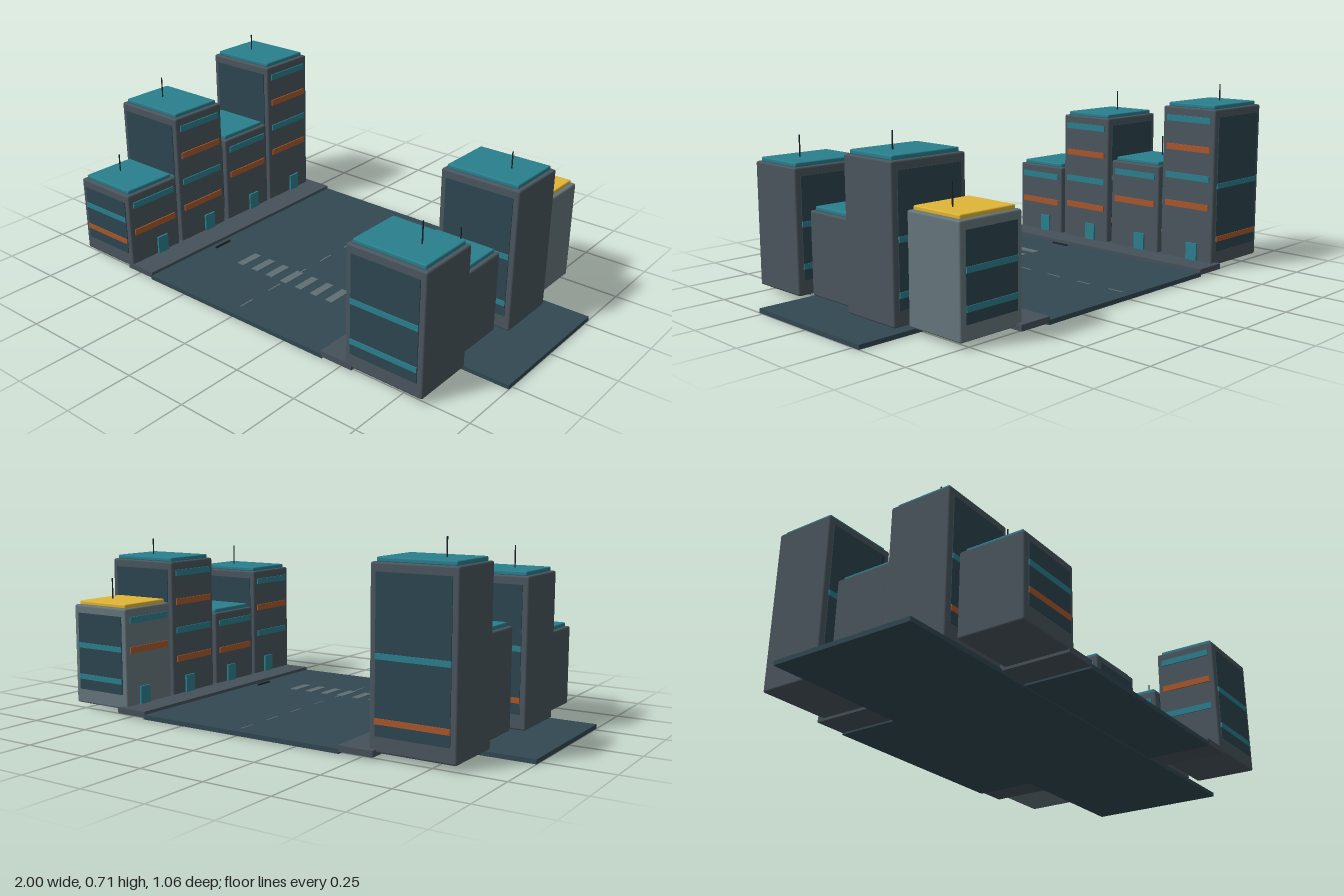
import * as THREE from 'three';
import { RoundedBoxGeometry } from 'three/addons/geometries/RoundedBoxGeometry.js';

const mat = (color) => new THREE.MeshStandardMaterial({ color });
const M = {
  wall: mat(0x4a555d), paleWall: mat(0x65757b), road: mat(0x314851), curb: mat(0x465159),
  glass: mat(0x2c4650), teal: mat(0x2a7f8e), orange: mat(0xa8572c), yellow: mat(0xe0b638),
  dark: mat(0x1c2429), paint: mat(0x5e6f74),
};

// Box given by its limits on each axis; r > 0 rounds the edges
function box(parent, name, material, [x0, x1], [y0, y1], [z0, z1], r = 0) {
  const size = [Math.abs(x1 - x0), y1 - y0, z1 - z0];
  const geo = r ? new RoundedBoxGeometry(...size, 2, r) : new THREE.BoxGeometry(...size);
  const mesh = new THREE.Mesh(geo, material);
  mesh.name = name;
  mesh.position.set((x0 + x1) / 2, (y0 + y1) / 2, (z0 + z1) / 2);
  parent.add(mesh);
  return mesh;
}

// side: +1 or -1, the side of the road the tower stands on
function building({ side, z, w, h, mast, pale }) {
  const g = new THREE.Group();
  g.name = 'building';
  const inner = 0.525, outer = inner + w, d = 0.122;
  const span = (a, b) => (side > 0 ? [a, b] : [-b, -a]);
  box(g, 'buildingBody', pale ? M.paleWall : M.wall, span(inner, outer), [0.02, h], [z - d, z + d], 0.007);
  box(g, 'roof', pale ? M.yellow : M.teal, span(inner + 0.014, outer - 0.014),
    [h - 0.002, h + 0.015], [z - d + 0.014, z + d - 0.014], 0.005);

  // roof mast
  const pole = new THREE.Mesh(new THREE.CylinderGeometry(0.0025, 0.0025, mast, 8), M.dark);
  pole.name = 'mast';
  pole.position.set(side * (inner + w / 2 + 0.05), h + 0.015 + mast / 2, z);
  g.add(pole);

  // glazed panel with two bands on the front and back
  const bands = [0.125, 0.22 + (h - 0.33) * 0.38];
  for (const s of [-1, 1]) {
    const slab = (a, b) => (s > 0 ? [z + a, z + b] : [z - b, z - a]);
    box(g, 'windowPanel', M.glass, span(inner + 0.022, outer - 0.022), [0.075, h - 0.03], slab(d - 0.004, d + 0.003));
    bands.forEach((y, i) => box(g, 'windowBand', i === 0 && side < 0 ? M.orange : M.teal,
      span(inner + 0.022, outer - 0.022), [y - 0.01, y + 0.01], slab(d, d + 0.006)));
  }

  // alternating bands and a door facing the road
  let i = 0;
  for (let y = h - 0.044; y > 0.16; y -= 0.113, i++) {
    box(g, 'streetBand', i % 2 ? M.orange : M.teal, span(inner - 0.005, inner + 0.005),
      [y - 0.012, y + 0.012], [z - 0.102, z + 0.102]);
  }
  box(g, 'door', M.teal, span(inner - 0.008, inner + 0.005), [0.03, 0.1], [z - 0.055, z - 0.005]);
  return g;
}

export function createModel() {
  const root = new THREE.Group();
  root.name = 'cityCrossing';

  // streets
  box(root, 'crossStreet', M.road, [-1, 1], [0, 0.016], [-0.28, 0.27]);
  box(root, 'mainRoad', M.road, [-0.425, 0.425], [0.003, 0.02], [-0.53, 0.522]);
  for (const s of [-1, 1]) {
    box(root, 'sidewalk', M.curb, [s * 0.42, s * 0.552], [0.01, 0.032], [-0.53, 0.522]);
    box(root, 'drain', M.dark, [s * 0.39, s * 0.396], [0.018, 0.026], [0.125, 0.205]);
  }

  // road paint
  for (let i = -3; i <= 3; i++) {
    box(root, 'crosswalkStripe', M.paint, [i * 0.074 - 0.016, i * 0.074 + 0.016], [0.018, 0.023], [0.14, 0.24]);
    const z = -0.01 + i * 0.15;
    box(root, 'laneDash', M.paint, [-0.003, 0.003], [0.018, 0.0215], [z - 0.032, z + 0.032]);
  }

  // towers
  const W = 0.31, N = 0.265;
  [
    { side: 1, z: 0.4, w: W, h: 0.475, mast: 0.08 },
    { side: 1, z: 0.14, w: N, h: 0.325, mast: 0.1 },
    { side: 1, z: -0.125, w: W, h: 0.555, mast: 0.062 },
    { side: 1, z: -0.385, w: N, h: 0.4, mast: 0.08, pale: true },
    { side: -1, z: 0.4, w: 0.272, h: 0.32, mast: 0.07 },
    { side: -1, z: 0.14, w: W, h: 0.555, mast: 0.08 },
    { side: -1, z: -0.125, w: N, h: 0.385, mast: 0.08 },
    { side: -1, z: -0.385, w: W, h: 0.63, mast: 0.065 },
  ].forEach((b) => root.add(building(b)));
  return root;
}
